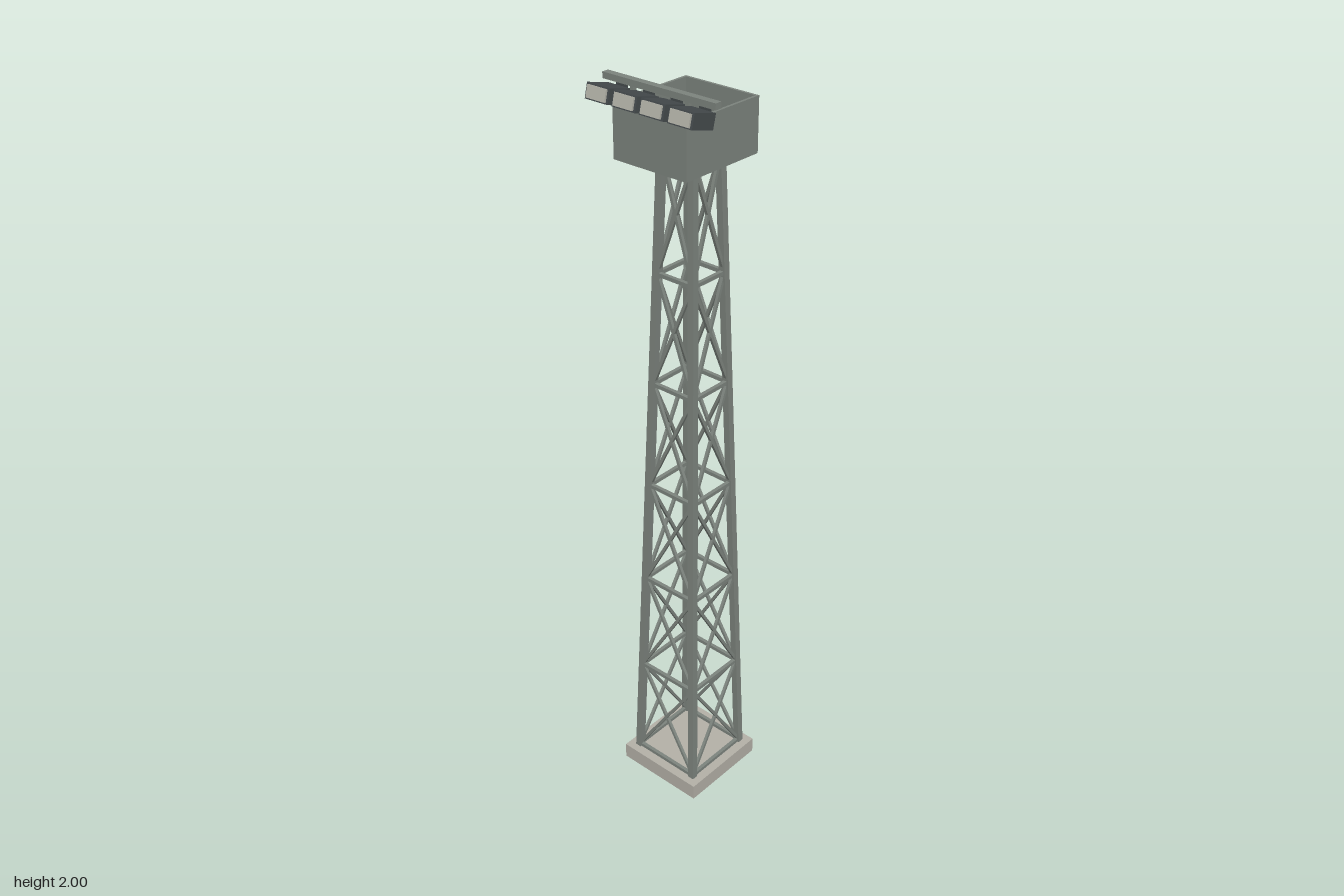
import * as THREE from 'three';

const mat = (name, color) => Object.assign(new THREE.MeshStandardMaterial({ color }), { name });

export function createModel() {
  const concrete = mat('concrete', 0xb4b1a8);
  const steel = mat('steel', 0x7d847e);
  const dark = mat('dark housing', 0x454b4d);
  const glass = mat('lamp glass', 0xb2b2a8);

  const model = new THREE.Group();
  model.name = 'floodlightTower';
  const V = (x, y, z) => new THREE.Vector3(x, y, z);

  const box = (parent, name, material, w, h, d, x, y, z) => {
    const m = new THREE.Mesh(new THREE.BoxGeometry(w, h, d), material);
    m.name = name;
    m.position.set(x, y, z);
    parent.add(m);
    return m;
  };

  // Square bar between two points
  const beam = (parent, name, a, b, t) => {
    const dir = b.clone().sub(a);
    const mid = a.clone().add(b).multiplyScalar(0.5);
    const m = box(parent, name, steel, t, dir.length(), t, mid.x, mid.y, mid.z);
    m.quaternion.setFromUnitVectors(V(0, 1, 0), dir.normalize());
  };

  // Foundation slab
  const towerZ = -0.027;
  box(model, 'foundation', concrete, 0.26, 0.045, 0.26, 0, 0.0225, towerZ);

  // Tapered lattice tower
  const tower = new THREE.Group();
  tower.name = 'latticeTower';
  tower.position.z = towerZ;
  model.add(tower);
  const y0 = 0.05, y1 = 1.825, bays = 6;
  const signs = [[-1, 1], [1, 1], [1, -1], [-1, -1]];
  const corner = (i, level) => {
    const t = level / bays;
    const r = THREE.MathUtils.lerp(0.1, 0.047, t);
    const [sx, sz] = signs[i % 4];
    return V(sx * r, THREE.MathUtils.lerp(y0, y1, t), sz * r);
  };
  for (let i = 0; i < 4; i++) {
    beam(tower, 'leg', corner(i, -0.03), corner(i, bays), 0.018);
    for (let k = 0; k < bays; k++) {
      beam(tower, 'horizontalBrace', corner(i, k), corner(i + 1, k), 0.01);
      beam(tower, 'diagonalBrace', corner(i, k), corner(i + 1, k + 1), 0.008);
      beam(tower, 'diagonalBrace', corner(i + 1, k), corner(i, k + 1), 0.008);
    }
  }

  // Open-topped cabin with plank floor
  const cabin = new THREE.Group();
  cabin.name = 'cabin';
  cabin.position.set(0, 1.82, -0.01);
  model.add(cabin);
  const W = 0.216, H = 0.133, D = 0.243, T = 0.007;
  box(cabin, 'floor', steel, W, 0.01, D, 0, 0.005, 0);
  for (const s of [-1, 1]) {
    box(cabin, 'sideWall', steel, T, H, D, s * (W - T) / 2, H / 2, 0);
    box(cabin, 'endWall', steel, W - 2 * T, H, T, 0, H / 2, s * (D - T) / 2);
  }
  const planks = 11, pitch = (D - 2 * T) / planks;
  for (let i = 0; i < planks; i++) {
    box(cabin, 'floorPlank', steel, W - 2 * T, 0.004, pitch - 0.0015,
      0, 0.012, (i - (planks - 1) / 2) * pitch);
  }

  // Lamp bar on posts
  box(model, 'lampBar', steel, 0.328, 0.015, 0.018, 0, 1.9925, 0.074);
  for (const x of [-0.08, 0.08]) {
    box(model, 'lampPost', steel, 0.01, 0.155, 0.01, x, 1.9075, 0.074);
  }

  // Four floodlights hung in front of the bar, tipped slightly upward
  for (const x of [-0.121, -0.04, 0.04, 0.121]) {
    const lamp = new THREE.Group();
    lamp.name = 'floodlight';
    lamp.position.set(x, 1.966, 0.11);
    lamp.rotation.x = -0.25;
    model.add(lamp);
    box(lamp, 'lampHousing', dark, 0.069, 0.036, 0.07, 0, 0, 0);
    box(lamp, 'lampGlass', glass, 0.057, 0.029, 0.006, 0, 0, 0.037);
    box(model, 'lampBracket', dark, 0.03, 0.03, 0.006, x, 1.978, 0.066);
  }
  return model;
}
